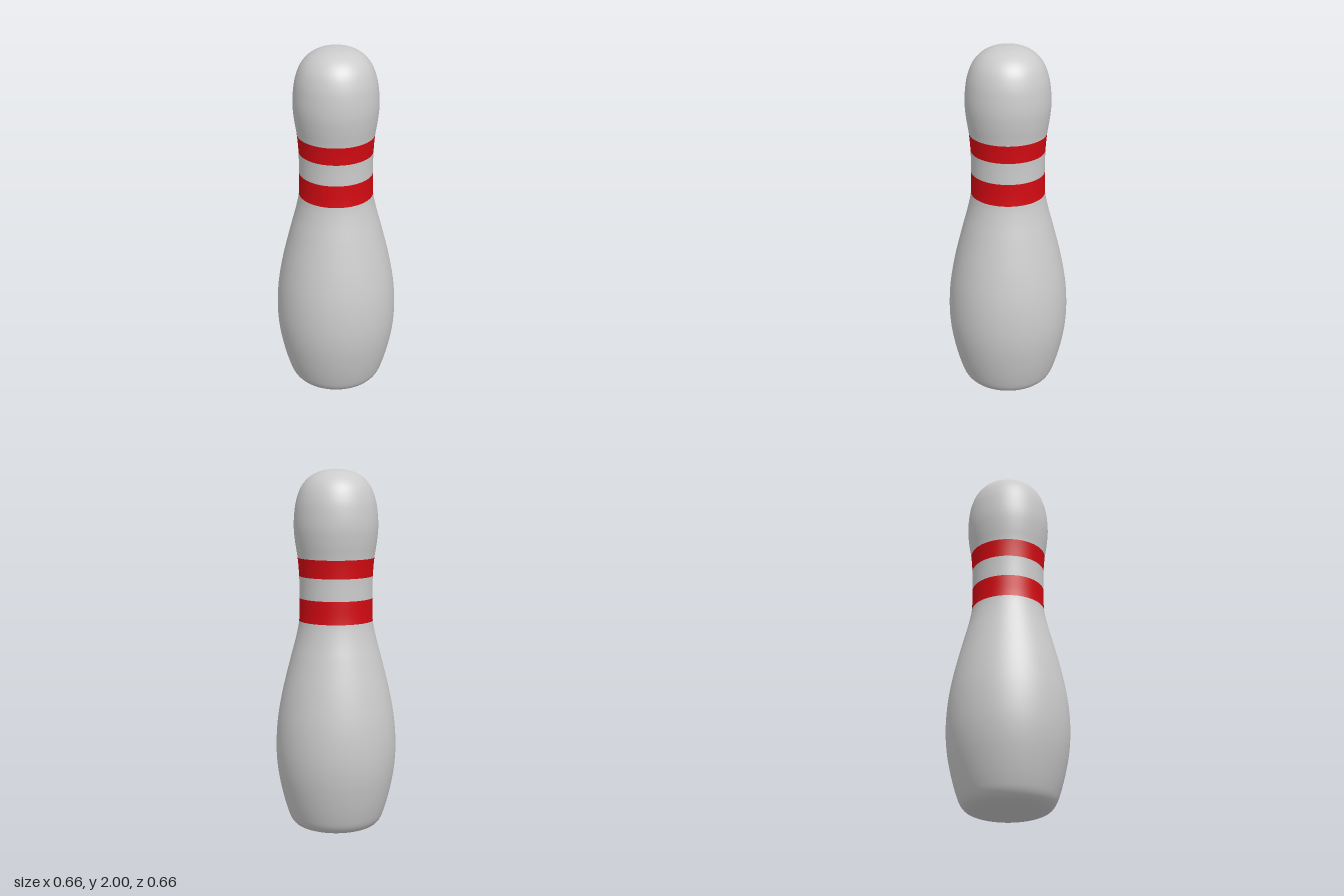
import * as THREE from 'three';

export function createModel() {
  const group = new THREE.Group();
  const white = new THREE.MeshStandardMaterial({ color: 0xcccccc });
  const red = new THREE.MeshStandardMaterial({ color: 0xd40a12 });

  // Profile [radius, height] from the base centre to the crown
  const profile = [
    [0, 0], [0.1, 0.008], [0.18, 0.02], [0.225, 0.037], [0.25, 0.065], [0.272, 0.12],
    [0.302, 0.23], [0.324, 0.35], [0.332, 0.47], [0.324, 0.62], [0.297, 0.78],
    [0.248, 0.98], [0.219, 1.09], [0.202, 1.18], [0.2, 1.305], [0.201, 1.425],
    [0.209, 1.525], [0.222, 1.61], [0.229, 1.69], [0.225, 1.77], [0.213, 1.84],
    [0.185, 1.91], [0.14, 1.96], [0.075, 1.991], [0, 2],
  ];
  const curve = new THREE.CatmullRomCurve3(profile.map(([r, y]) => new THREE.Vector3(r, y, 0)));
  const last = profile.length - 1;
  const STEPS = 6;

  // Revolve the profile between two of its points
  function section(name, from, to, material) {
    const points = [];
    for (let i = from * STEPS; i <= to * STEPS; i++) {
      const p = curve.getPoint(i / (last * STEPS));
      points.push(new THREE.Vector2(Math.max(0, p.x), Math.max(0, p.y)));
    }
    const mesh = new THREE.Mesh(new THREE.LatheGeometry(points, 96), material);
    mesh.name = name;
    group.add(mesh);
  }

  section('body', 0, 13, white);
  section('lowerStripe', 13, 14, red);
  section('neck', 14, 15, white);
  section('upperStripe', 15, 16, red);
  section('head', 16, last, white);

  return group;
}
